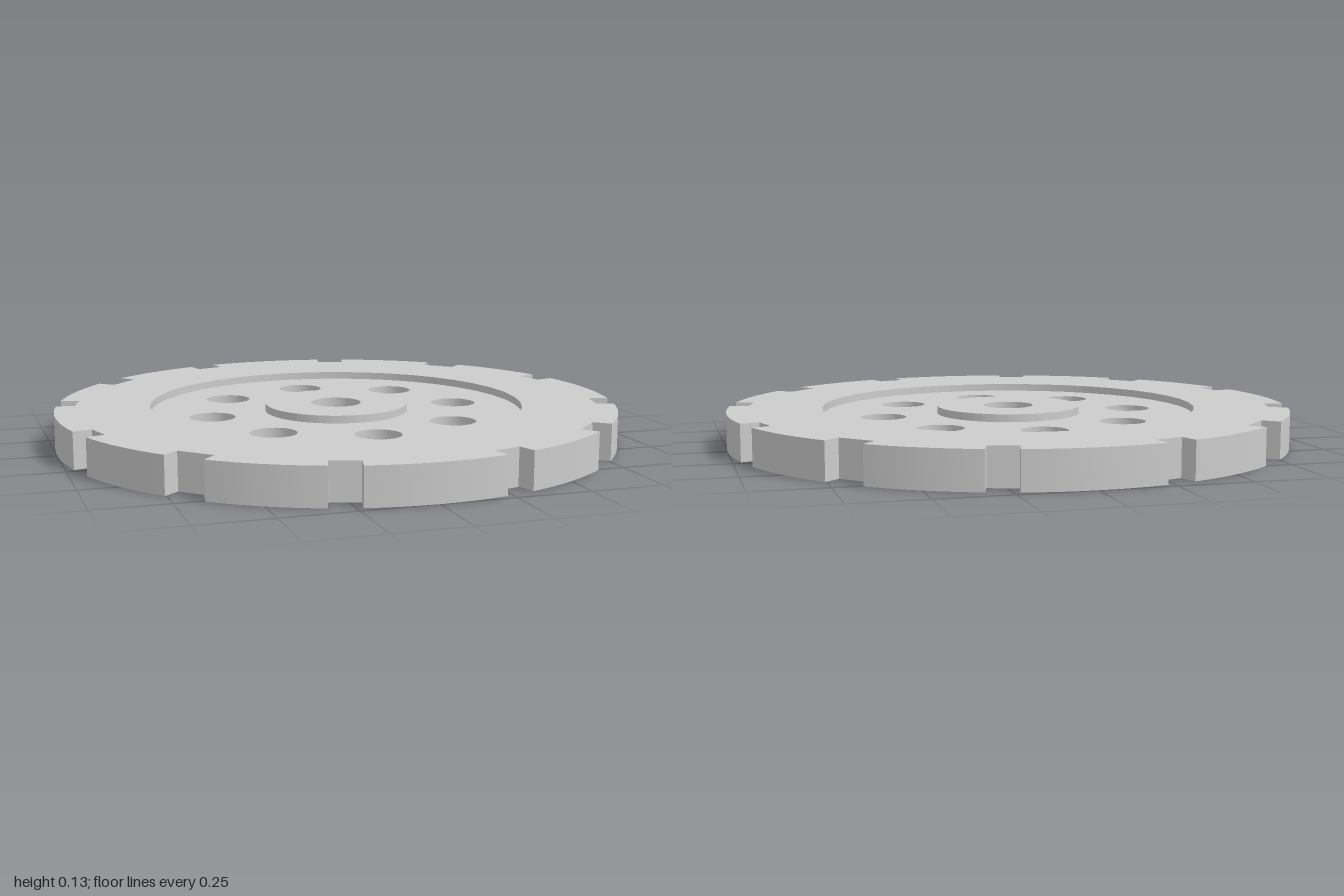
import * as THREE from 'three';
import { toCreasedNormals } from 'three/addons/utils/BufferGeometryUtils.js';

const HEIGHT = 0.128, RECESS = 0.027;
const RECESS_R = 0.667, HUB_R = 0.255, BORE_R = 0.09;
const DEG = Math.PI / 180;

const polar = (r, a) => new THREE.Vector2(r * Math.cos(a), r * Math.sin(a));

function circle(r, sides, cx = 0, cy = 0) {
  return Array.from({ length: sides }, (_, i) =>
    polar(r, (i / sides) * Math.PI * 2).add(new THREE.Vector2(cx, cy)));
}

// Outer outline: twelve notches cut into a unit circle, three per quadrant
function notchedOutline() {
  const notches = [];
  for (let q = 0; q < 4; q++) {
    for (const [deg, outer, inner] of [[16.3, 0.052, 0.05], [45, 0.071, 0.067], [73.7, 0.052, 0.05]]) {
      notches.push({ angle: (q * 90 + deg) * DEG, half: Math.asin(outer), inner });
    }
  }
  const points = [];
  notches.forEach((n, i) => {
    const floor = polar(0.932, n.angle);
    const side = polar(n.inner, n.angle + Math.PI / 2);
    points.push(floor.clone().sub(side), floor.clone().add(side));
    // arc from this notch to the next
    const next = notches[(i + 1) % notches.length];
    const start = n.angle + n.half;
    const end = next.angle - next.half + (i === notches.length - 1 ? Math.PI * 2 : 0);
    const steps = 8;
    for (let s = 0; s <= steps; s++) points.push(polar(1, start + ((end - start) * s) / steps));
  });
  return points;
}

// Flat plate lying between heights y0 and y1
function plate(name, outline, holes, y0, y1, material) {
  const shape = new THREE.Shape(outline);
  shape.holes = holes.map((h) => new THREE.Path(h));
  const geometry = new THREE.ExtrudeGeometry(shape, { depth: y1 - y0, bevelEnabled: false });
  geometry.rotateX(-Math.PI / 2).translate(0, y0, 0);
  const mesh = new THREE.Mesh(toCreasedNormals(geometry, 35 * DEG), material);
  mesh.name = name;
  return mesh;
}

export function createModel() {
  const group = new THREE.Group();
  group.name = 'notchedWheel';
  const material = new THREE.MeshStandardMaterial({ color: 0xcccccc });

  // Eight round holes through the thinner web
  const webHoles = [];
  for (let i = 0; i < 8; i++) {
    const c = polar(0.456, i * 45 * DEG);
    webHoles.push(circle(0.081, 16, c.x, c.y));
  }

  const recessEdge = circle(RECESS_R, 40), hubEdge = circle(HUB_R, 32);
  group.add(
    plate('rim', notchedOutline(), [recessEdge], 0, HEIGHT, material),
    plate('web', recessEdge, [hubEdge, ...webHoles], RECESS, HEIGHT - RECESS, material),
    plate('hub', hubEdge, [circle(BORE_R, 24)], 0, HEIGHT, material),
  );
  return group;
}
